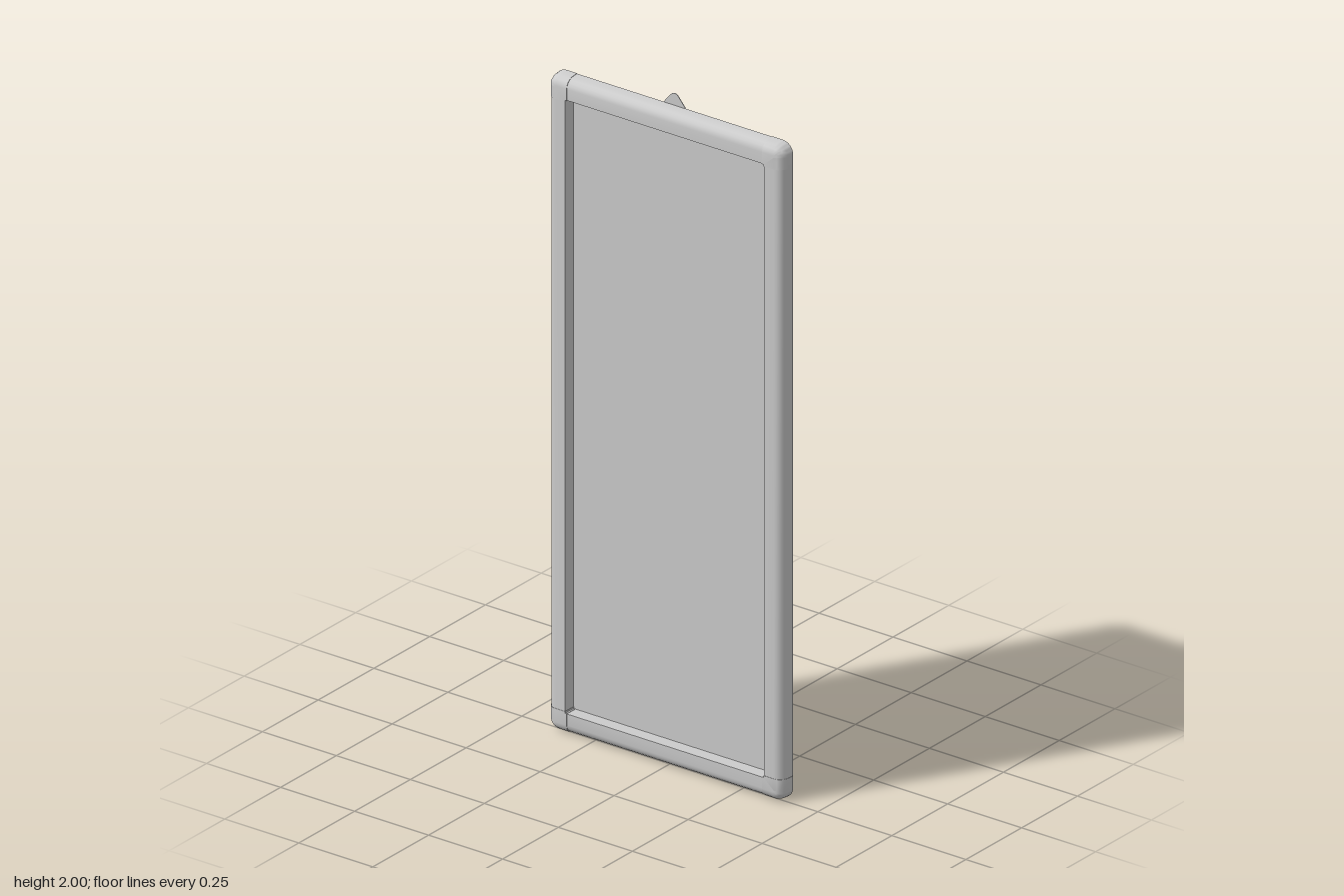
import * as THREE from 'three';
import { toCreasedNormals } from 'three/addons/utils/BufferGeometryUtils.js';

const HALF_W = 0.4, Y0 = 0.005, Y1 = 1.965;   // outer outline of the frame
const CAP = 0.07, RADIUS = 0.035;             // corner cap length and outline radius

// Frame moulding section: [inset from outer edge, x]
const PROFILE = [
  [0, 0.022], [0.002, 0], [0.006, -0.011], [0.013, -0.019], [0.021, -0.0235],
  [0.03, -0.025], [0.065, -0.025], [0.065, 0.022],
];
// Rails sit a hair inside the corner caps, leaving a visible seam
const RAIL = PROFILE.map(([u, x]) => [u + (u < 0.06 ? 0.001 : -0.001), x < 0 ? x + 0.001 : x * 0.98]);

// Closed solid through equal convex sections, faces turned outward
function loft(sections) {
  const tris = [], n = sections[0].length, last = sections.length - 1;
  for (let s = 0; s < last; s++) {
    for (let i = 0; i < n; i++) {
      const j = (i + 1) % n;
      const a = sections[s][i], b = sections[s][j], c = sections[s + 1][j], d = sections[s + 1][i];
      tris.push([a, b, c], [a, c, d]);
    }
  }
  for (let i = 1; i < n - 1; i++) {
    tris.push([sections[0][0], sections[0][i + 1], sections[0][i]]);
    tris.push([sections[last][0], sections[last][i], sections[last][i + 1]]);
  }
  const origin = sections[0][0];
  let volume = 0;
  for (const t of tris) {
    const [a, b, c] = t.map((p) => p.clone().sub(origin));
    volume += a.dot(b.cross(c));
  }
  if (volume < 0) tris.forEach((t) => t.reverse());
  const geometry = new THREE.BufferGeometry().setFromPoints(tris.flat());
  return toCreasedNormals(geometry, 0.6);
}

export function createModel() {
  const group = new THREE.Group();
  const material = new THREE.MeshStandardMaterial({ color: 0xcccccc });
  const add = (name, geometry) => {
    const mesh = new THREE.Mesh(geometry, material);
    mesh.name = name;
    group.add(mesh);
    return mesh;
  };
  const yAt = (side, inset) => (side > 0 ? Y1 - inset : Y0 + inset);
  const zAt = (side, inset) => side * (HALF_W - inset);

  // Straight rails, tucked slightly into the caps
  const tuck = CAP - 0.008;
  for (const side of [1, -1]) {
    add(side > 0 ? 'topRail' : 'bottomRail', loft([1, -1].map((end) =>
      RAIL.map(([u, x]) => new THREE.Vector3(x, yAt(side, u), zAt(end, tuck))))));
    add(side > 0 ? 'frontStile' : 'backStile', loft([1, -1].map((end) =>
      RAIL.map(([u, x]) => new THREE.Vector3(x, yAt(end, tuck), zAt(side, u))))));
  }

  // Corner caps: the moulding swept round a rounded corner
  const STEPS = 8;
  for (const sy of [1, -1]) {
    for (const sz of [1, -1]) {
      const at = (x, p, q) => new THREE.Vector3(x, yAt(sy, p), zAt(sz, q));
      const sections = [PROFILE.map(([u, x]) => at(x, CAP, u))];
      for (let i = 0; i <= STEPS; i++) {
        const a = (i / STEPS) * Math.PI / 2;
        sections.push(PROFILE.map(([u, x]) => {
          const r = Math.max(RADIUS - u, 0), m = Math.max(RADIUS, u);
          return at(x, m - r * Math.sin(a), m - r * Math.cos(a));
        }));
      }
      sections.push(PROFILE.map(([u, x]) => at(x, u, CAP)));
      add('cornerCap', loft(sections));
    }
  }

  // Backing panel, forming the floor of the recess
  const panel = add('backPanel', new THREE.BoxGeometry(0.0075, Y1 - Y0 - 0.06, 2 * HALF_W - 0.06));
  panel.position.set(0.0185, (Y0 + Y1) / 2, 0);

  // Hanging tab at the middle of the top edge
  const tab = new THREE.Shape();
  tab.moveTo(-0.038, 1.955);
  tab.lineTo(-0.036, 1.966);
  tab.lineTo(-0.014, 1.992);
  tab.quadraticCurveTo(0, 2.008, 0.014, 1.992);
  tab.lineTo(0.036, 1.966);
  tab.lineTo(0.038, 1.955);
  const tabGeometry = new THREE.ExtrudeGeometry(tab, { depth: 0.002, bevelEnabled: false });
  tabGeometry.rotateY(Math.PI / 2).translate(0.0208, 0, 0);
  add('hangingTab', tabGeometry);

  return group;
}
